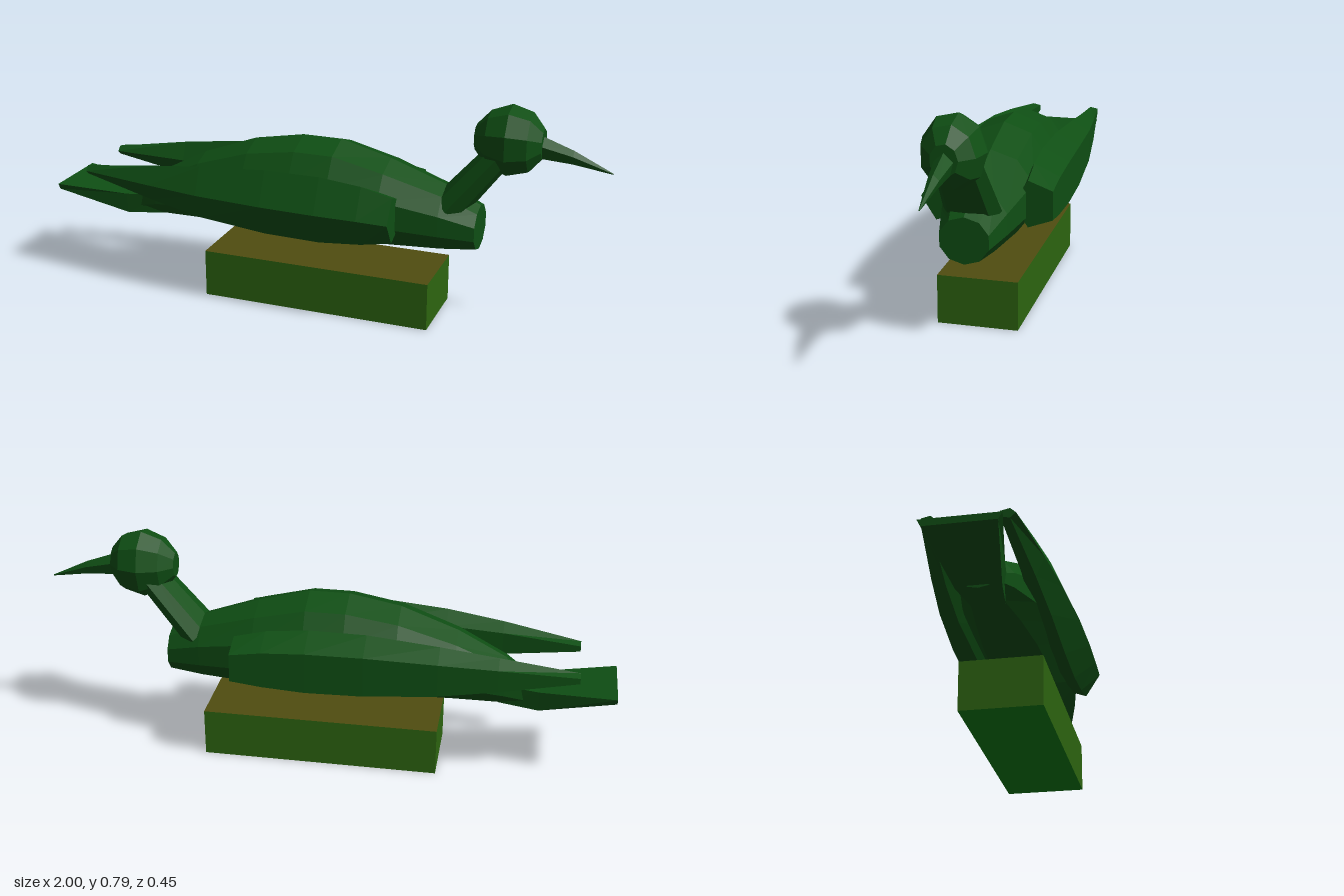
import * as THREE from 'three';

const GREEN = 0x0f4f14;

const mat = (color) => new THREE.MeshStandardMaterial({ color, flatShading: true });

// Ring of n points round the x axis; phase 0 starts at the top and turns towards +z
function ring(x, yc, hy, zc, hz, n, phase = 0) {
  return Array.from({ length: n }, (_, i) => {
    const a = phase + (i / n) * Math.PI * 2;
    return [x, yc + Math.cos(a) * hy, zc + Math.sin(a) * hz];
  });
}

// Skin the rings, ordered by rising x, and close both ends
function loft(name, rings, color = GREEN) {
  const n = rings[0].length, index = [];
  for (let i = 0; i < rings.length - 1; i++) {
    for (let j = 0; j < n; j++) {
      const k = (j + 1) % n;
      const a = i * n + j, b = i * n + k, c = a + n, d = b + n;
      index.push(a, b, c, b, d, c);
    }
  }
  const last = (rings.length - 1) * n;
  for (let j = 1; j < n - 1; j++) {
    index.push(0, j + 1, j, last, last + j, last + j + 1);
  }
  const geo = new THREE.BufferGeometry();
  geo.setAttribute('position', new THREE.Float32BufferAttribute(rings.flat(2), 3));
  geo.setIndex(index);
  const flat = geo.toNonIndexed();
  flat.computeVertexNormals();
  const mesh = new THREE.Mesh(flat, mat(color));
  mesh.name = name;
  return mesh;
}

export function createModel() {
  const model = new THREE.Group();
  model.name = 'waterBird';

  // Base block: olive top, mid-green sides, bright green underside
  const side = mat(0x2d6510), top = mat(0x504d10), bottom = mat(0x0a7f10);
  const base = new THREE.Mesh(new THREE.BoxGeometry(0.83, 0.17, 0.275),
    [side, side, top, bottom, side, side]);
  base.position.set(0.015, 0.085, -0.002);
  base.name = 'base';
  model.add(base);

  // Body: x, top y, bottom y, half width
  const body = [
    [-0.75, 0.31, 0.243, 0.055], [-0.62, 0.41, 0.245, 0.09],
    [-0.45, 0.50, 0.247, 0.125], [-0.25, 0.575, 0.245, 0.155],
    [-0.07, 0.608, 0.243, 0.165], [0.07, 0.608, 0.243, 0.165],
    [0.25, 0.56, 0.248, 0.155], [0.45, 0.49, 0.258, 0.115],
    [0.57, 0.43, 0.272, 0.085],
  ];
  model.add(loft('body', body.map(([x, t, b, w]) =>
    ring(x, (t + b) / 2, (t - b) / 2, 0, w, 10))));

  // Wings: x, centre y, half height, centre z, half width
  const wing = [
    [-0.87, 0.417, 0.017, 0.112, 0.026], [-0.6, 0.41, 0.068, 0.135, 0.042],
    [-0.4, 0.405, 0.1, 0.144, 0.058], [-0.15, 0.403, 0.123, 0.143, 0.077],
    [0.05, 0.402, 0.125, 0.143, 0.083], [0.2, 0.402, 0.11, 0.146, 0.08],
    [0.31, 0.4, 0.085, 0.15, 0.075],
  ];
  // Both wings share the same five-sided section, point towards +z
  for (const [name, s, shift] of [['leftWing', 1, 0], ['rightWing', -1, -0.016]]) {
    model.add(loft(name, wing.map(([x, y, hy, z, hz]) =>
      ring(x, y, hy, s * z + shift, hz, 5, Math.PI / 2))));
  }

  // Tail: flat fan widening to the rear
  const tail = [
    [-1, 0.345, 0.322, 0.125], [-0.74, 0.325, 0.25, 0.08], [-0.6, 0.33, 0.26, 0.06],
  ];
  model.add(loft('tail', tail.map(([x, t, b, w]) =>
    [[x, t, -w], [x, t, w], [x, b, w * 0.9], [x, b, -w * 0.9]])));

  // Neck: oval column leaning forward
  const neck = new THREE.Mesh(new THREE.CylinderGeometry(0.08, 0.098, 0.27, 8), mat(GREEN));
  neck.scale.x = 0.6;
  neck.rotation.z = -0.68;
  neck.position.set(0.555, 0.53, 0);
  neck.name = 'neck';
  model.add(neck);

  // Head: faceted ball, x and radius
  const head = [[0.545, 0.045], [0.59, 0.095], [0.66, 0.122], [0.73, 0.102], [0.77, 0.052]];
  model.add(loft('head', head.map(([x, r]) =>
    ring(x, 0.671, r, 0, r * 0.86, 9, -0.15))));

  // Beak: slender and drooping to a point
  const beak = [
    [0.75, 0.661, 0.042, 0.034], [0.87, 0.636, 0.024, 0.019], [1, 0.596, 0.002, 0.002],
  ];
  model.add(loft('beak', beak.map(([x, y, hy, hz]) => ring(x, y, hy, 0, hz, 5))));

  return model;
}
